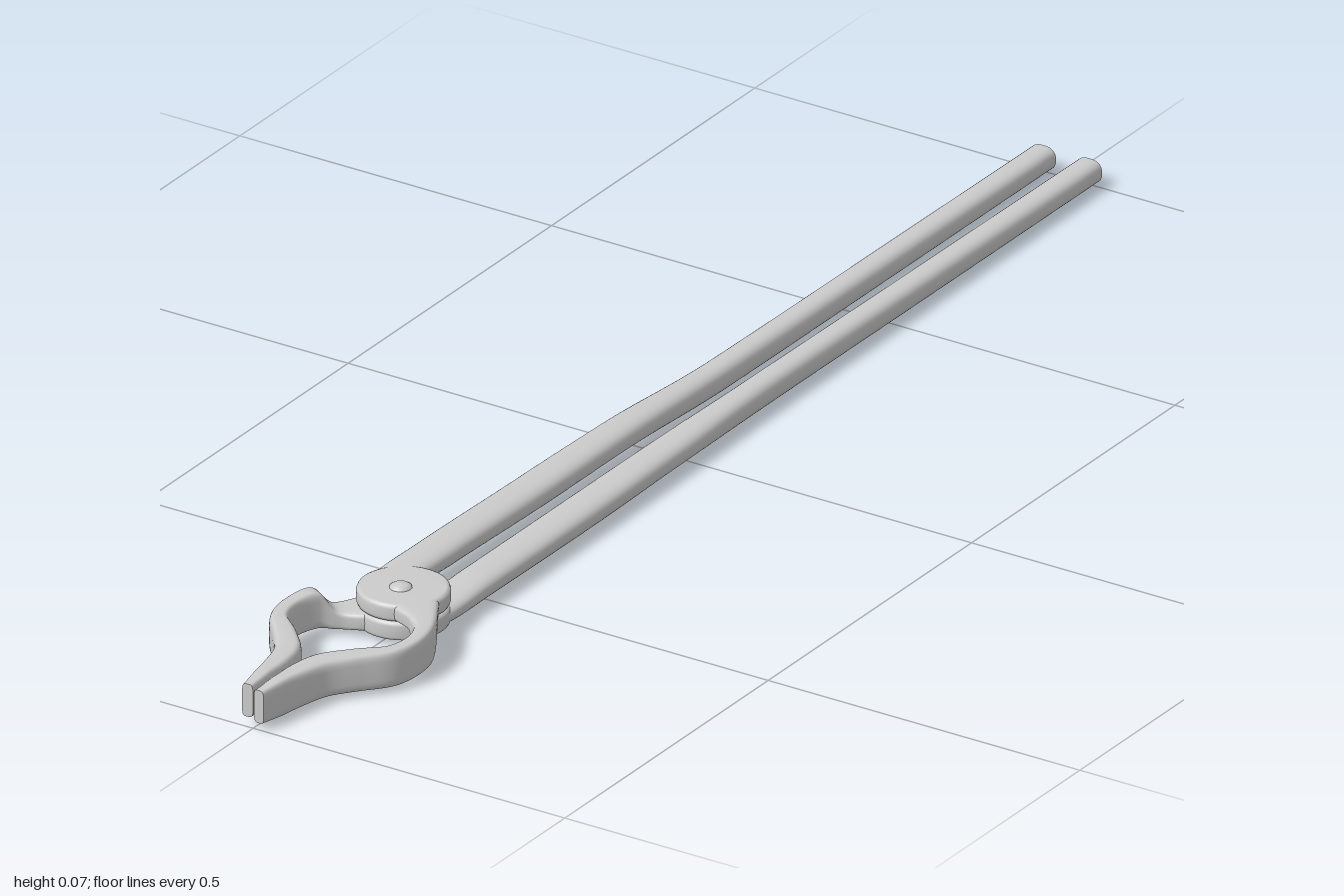
import * as THREE from 'three';
import { mergeVertices } from 'three/addons/utils/BufferGeometryUtils.js';

const steel = () => new THREE.MeshStandardMaterial({ color: 0xcccccc, side: THREE.DoubleSide });

// Sweeps a rounded section along stations [x, z, width, bottom y, top y]; n sets squareness
function sweep(stations, n, steps, sides = 32) {
  const path = new THREE.CatmullRomCurve3(stations.map(s => new THREE.Vector3(s[0], 0, s[1])), false, 'centripetal');
  const size = new THREE.CatmullRomCurve3(stations.map(s => new THREE.Vector3(s[2], s[3], s[4])), false, 'catmullrom', 0.3);
  const pos = [], idx = [];
  const pow = v => Math.sign(v) * Math.pow(Math.abs(v), 2 / n);
  for (let i = 0; i <= steps; i++) {
    const t = i / steps, p = path.getPoint(t), d = path.getTangent(t), s = size.getPoint(t);
    for (let j = 0; j < sides; j++) {
      const a = j / sides * Math.PI * 2;
      const u = pow(Math.cos(a)) * s.x / 2;
      const v = (s.y + s.z) / 2 + pow(Math.sin(a)) * (s.z - s.y) / 2;
      pos.push(p.x + d.z * u, v, p.z - d.x * u);
      if (i < steps) {
        const k = i * sides + j, m = i * sides + (j + 1) % sides;
        idx.push(k, m, k + sides, m, m + sides, k + sides);
      }
    }
  }
  // Flat caps with their own corners
  for (const ring of [0, steps]) {
    const base = pos.length / 3;
    for (let j = 0; j < sides; j++) {
      const k = (ring * sides + j) * 3;
      pos.push(pos[k], pos[k + 1], pos[k + 2]);
    }
    for (let j = 1; j < sides - 1; j++) {
      if (ring) idx.push(base, base + j, base + j + 1);
      else idx.push(base, base + j + 1, base + j);
    }
  }
  const g = new THREE.BufferGeometry();
  g.setAttribute('position', new THREE.Float32BufferAttribute(pos, 3));
  g.setIndex(idx);
  g.computeVertexNormals();
  return g;
}

function add(parent, name, geometry) {
  const mesh = new THREE.Mesh(geometry, steel());
  mesh.name = name;
  parent.add(mesh);
  return mesh;
}

// Round plate with softened rims
function disc(r, y0, y1, bevel) {
  const pts = [[0, y0], [r - bevel, y0], [r - bevel * 0.3, y0 + bevel * 0.3], [r, y0 + bevel],
    [r, y1 - bevel], [r - bevel * 0.3, y1 - bevel * 0.3], [r - bevel, y1], [0, y1]];
  return new THREE.LatheGeometry(pts.map(p => new THREE.Vector2(...p)), 40);
}

// One half: a rein on one side, crossing the pivot to a jaw on the other
function half(name, side, plate, jawY, reinY) {
  const g = new THREE.Group();
  g.name = name;
  const [p0, p1] = plate, [j0, j1] = jawY, [r0, r1] = reinY;

  const rein = [
    [0.037, -1, 0.04, 0.005, 0.039],
    [0.037, -0.6, 0.04, 0.005, 0.042],
    [0.037, -0.2, 0.041, 0.006, 0.045],
    [0.037, 0.05, 0.052, r0 * 0.6 + 0.003, r1 * 0.6 + 0.019],
    [0.037, 0.25, 0.057, r0 * 0.8, r1 * 0.8 + 0.009],
    [0.037, 0.5, 0.058, r0, r1],
    [0.034, 0.6, 0.058, p0, p1],
    [0.026, 0.645, 0.05, p0 + 0.002, p1 - 0.002],
  ].map(([x, ...rest]) => [-side * x, ...rest]);
  add(g, 'handle', sweep(rein, 2.6, 60));

  const boss = add(g, 'pivotPlate', disc(0.064, p0, p1, 0.006));
  boss.position.z = 0.63;

  const jaw = [
    [0.012, 0.635, 0.08, p0 + 0.001, p1 - 0.001],
    [0.04, 0.662, 0.065, p0, p1],
    [0.07, 0.69, 0.04, p0, p1],
    [0.088, 0.715, 0.03, j0, j1],
    [0.098, 0.755, 0.025, j0, j1],
    [0.09, 0.798, 0.026, j0, j1],
    [0.057, 0.835, 0.034, j0, j1],
    [0.028, 0.873, 0.038, j0, j1],
    [0.018, 0.91, 0.034, j0, j1],
    [0.013, 0.955, 0.025, j0, j1],
    [0.009, 1, 0.017, j0 + 0.003, j1 - 0.003],
  ].map(([x, ...rest]) => [side * x, ...rest]);
  add(g, 'jaw', sweep(jaw, 4.5, 80));
  return g;
}

export function createModel() {
  const model = new THREE.Group();
  model.name = 'tongs';
  model.add(half('upperHalf', 1, [0.036, 0.062], [0.007, 0.062], [0.027, 0.061]));
  model.add(half('lowerHalf', -1, [0.008, 0.036], [0.012, 0.067], [0.009, 0.042]));

  // Rivet with a domed head on both ends
  const profile = [[0, 0], [0.01, 0.001], [0.015, 0.004], [0.016, 0.008],
    [0.016, 0.06], [0.015, 0.064], [0.01, 0.067], [0, 0.068]];
  const rivet = add(model, 'rivet', mergeVertices(
    new THREE.LatheGeometry(profile.map(p => new THREE.Vector2(...p)), 24)));
  rivet.position.z = 0.637;
  return model;
}
